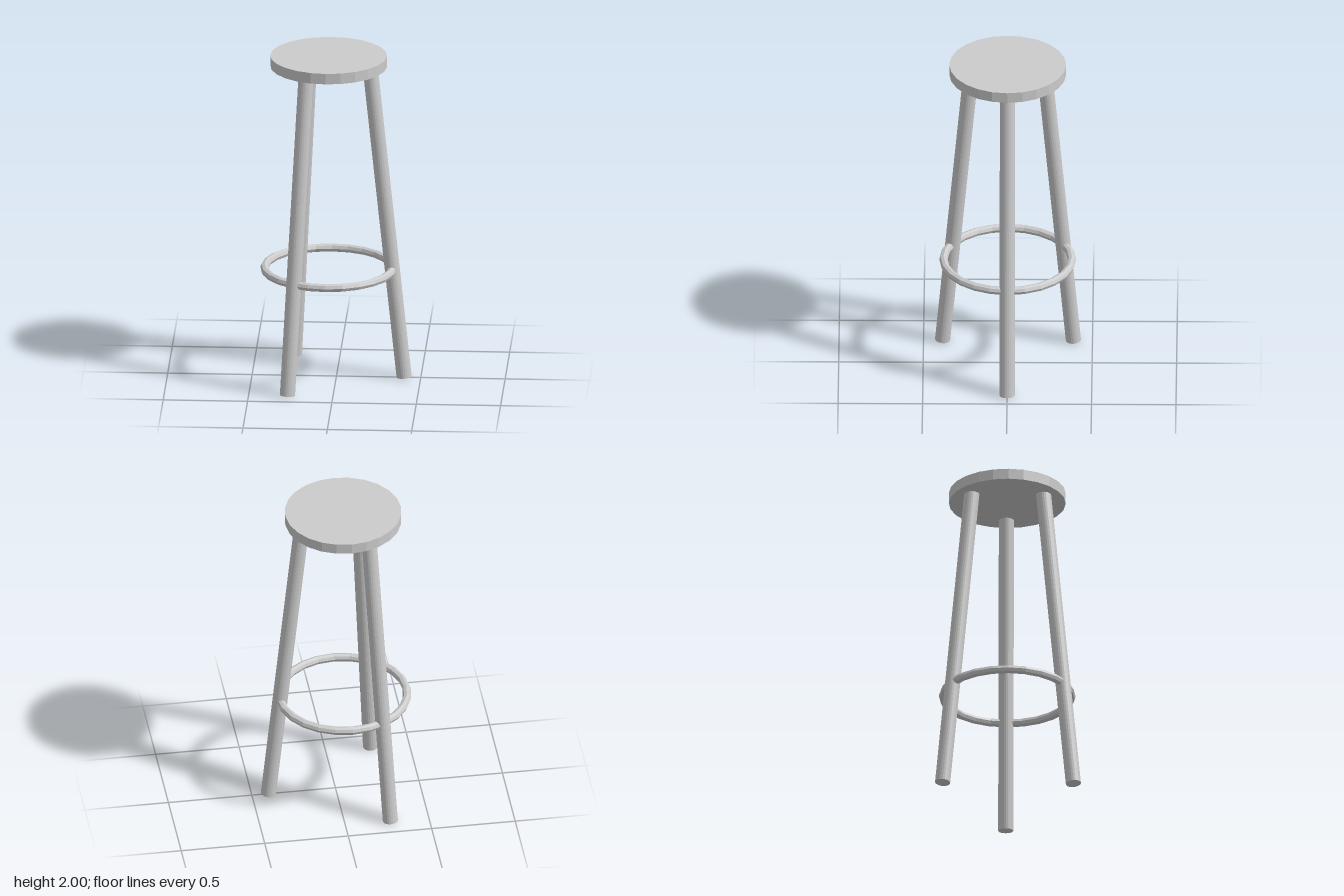
import * as THREE from 'three';

const CENTER_X = -0.046;

export function createModel() {
  const model = new THREE.Group();
  model.name = 'barStool';
  const material = new THREE.MeshStandardMaterial({ color: 0xcccccc, flatShading: true });

  const add = (name, geometry, y) => {
    const mesh = new THREE.Mesh(geometry, material);
    mesh.name = name;
    mesh.position.set(CENTER_X, y, 0);
    model.add(mesh);
    return mesh;
  };

  // Round seat
  add('seat', new THREE.CylinderGeometry(0.346, 0.346, 0.065, 24), 1.9675);

  // Foot ring
  add('footRing', new THREE.TorusGeometry(0.38, 0.025, 8, 24).rotateX(Math.PI / 2), 0.675);

  // Three splayed legs, running from the floor into the seat
  const up = new THREE.Vector3(0, 1, 0);
  for (let i = 0; i < 3; i++) {
    const a = (i * Math.PI * 2) / 3;
    const at = (r, y) => new THREE.Vector3(CENTER_X + r * Math.cos(a), y, r * Math.sin(a));
    const foot = at(0.447, 0.005);
    const top = at(0.244, 1.95);
    const dir = top.clone().sub(foot);
    const leg = add('leg' + (i + 1), new THREE.CylinderGeometry(0.045, 0.045, dir.length(), 24), 0);
    leg.position.copy(foot).add(top).multiplyScalar(0.5);
    leg.quaternion.setFromUnitVectors(up, dir.normalize());
  }

  return model;
}
